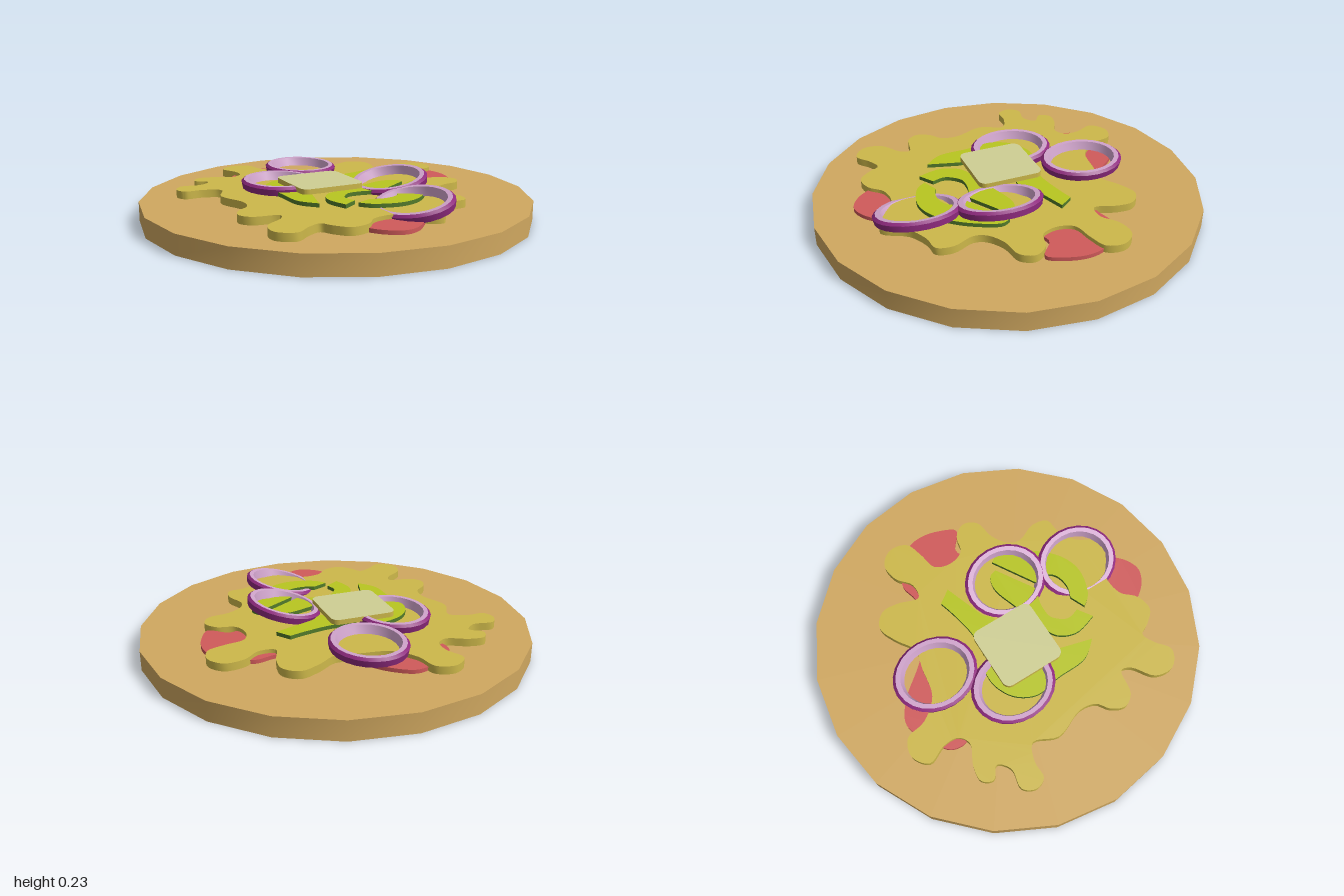
import * as THREE from 'three';
import { toCreasedNormals } from 'three/addons/utils/BufferGeometryUtils.js';

const mat = (name, color) => {
  const m = new THREE.MeshStandardMaterial({ color });
  m.name = name;
  return m;
};

export function createModel() {
  const model = new THREE.Group();
  const crust = mat('crust', 0xd0a860);
  const cheese = mat('cheese', 0xcdb84a);
  const sauce = mat('sauce', 0xd05a5a);
  const pepper = mat('pepperFlesh', 0xb8c620);
  const pepperSkin = mat('pepperSkin', 0x527a2a);
  const slab = mat('paleCheese', 0xcfcf94);
  const onionSkin = mat('onionSkin', 0x8e2a7e);
  const onionFlesh = mat('onionFlesh', 0xd0a4cc);

  const add = (name, geometry, material, parent = model) => {
    const mesh = new THREE.Mesh(geometry, material);
    mesh.name = name;
    parent.add(mesh);
    return mesh;
  };
  // Outlines are given as [x, z] and raised from y0 to y1
  const toVec = ([x, z]) => new THREE.Vector2(x, -z);
  const slice = (name, shape, y0, y1, material, curveSegments = 12) => {
    const g = new THREE.ExtrudeGeometry(shape, { depth: y1 - y0, bevelEnabled: false, curveSegments });
    g.rotateX(-Math.PI / 2).translate(0, y0, 0);
    return add(name, toCreasedNormals(g, 0.6), material);
  };
  const blob = (points) => {
    const curve = new THREE.CatmullRomCurve3(
      points.map(([x, z]) => new THREE.Vector3(x, -z, 0)), true, 'centripetal');
    return new THREE.Shape(curve.getPoints(points.length * 5).slice(0, -1)
      .map((p) => new THREE.Vector2(p.x, p.y)));
  };

  // Flat round base
  add('base', toCreasedNormals(new THREE.CylinderGeometry(1, 1, 0.1, 20).translate(0, 0.05, 0), 0.6), crust);

  // Sauce puddle under the cheese
  slice('sauce', blob([
    [-0.38, -0.5], [-0.365, -0.56], [-0.29, -0.62], [-0.2, -0.67], [-0.13, -0.68], [-0.03, -0.62],
    [0.1, -0.47], [0.28, -0.31], [0.42, -0.305], [0.52, -0.325], [0.62, -0.27], [0.7, -0.19],
    [0.72, -0.1], [0.7, 0], [0.65, 0.085], [0.55, 0.02], [0.46, 0.08], [0.37, 0.28], [0.2, 0.55],
    [0.06, 0.72], [0, 0.77], [-0.07, 0.79], [-0.15, 0.75], [-0.21, 0.67], [-0.33, 0.4],
    [-0.45, 0.1], [-0.45, -0.2], [-0.36, -0.42],
  ]), 0.1, 0.12, sauce);

  // Melted cheese with a wavy rim
  slice('meltedCheese', blob([
    [-0.3, -0.74], [-0.21, -0.71], [-0.18, -0.6], [-0.09, -0.5], [0.06, -0.47], [0.17, -0.45],
    [0.27, -0.51], [0.37, -0.545], [0.44, -0.49], [0.44, -0.4], [0.41, -0.29], [0.49, -0.28],
    [0.57, -0.34], [0.67, -0.35], [0.73, -0.28], [0.71, -0.19], [0.62, -0.155], [0.52, -0.13],
    [0.49, -0.05], [0.52, 0.035], [0.61, 0.064], [0.655, 0.13], [0.62, 0.2], [0.51, 0.225],
    [0.43, 0.28], [0.41, 0.34], [0.45, 0.45], [0.43, 0.53], [0.35, 0.545], [0.25, 0.6],
    [0.17, 0.72], [0.07, 0.67], [-0.02, 0.61], [-0.13, 0.62], [-0.2, 0.685], [-0.29, 0.7],
    [-0.35, 0.64], [-0.385, 0.585], [-0.45, 0.61], [-0.53, 0.665], [-0.61, 0.61], [-0.6, 0.51],
    [-0.5, 0.43], [-0.485, 0.38], [-0.61, 0.35], [-0.65, 0.29], [-0.62, 0.22], [-0.56, 0.17],
    [-0.545, 0.085], [-0.6, -0.075], [-0.555, -0.2], [-0.64, -0.245], [-0.73, -0.25],
    [-0.755, -0.31], [-0.715, -0.37], [-0.61, -0.36], [-0.555, -0.41], [-0.61, -0.46],
    [-0.58, -0.515], [-0.5, -0.51], [-0.395, -0.465], [-0.34, -0.5], [-0.337, -0.58], [-0.375, -0.68],
  ]), 0.1, 0.14, cheese);

  // Pepper strips: an outer and an inner curve joined by straight cuts
  const strips = [
    [[[-0.1, -0.21], [-0.21, -0.21], [-0.315, -0.155], [-0.37, -0.05], [-0.35, 0.085], [-0.34, 0.25], [-0.27, 0.345]],
      [[-0.225, 0.18], [-0.225, 0.06], [-0.2, -0.05], [-0.13, -0.11]]],
    [[[-0.05, -0.17], [0.08, -0.16], [0.22, -0.185], [0.31, -0.21]],
      [[0.36, -0.14], [0.22, -0.09], [0.14, -0.06], [0.09, -0.02], [0, -0.05]]],
    [[[-0.17, 0.42], [-0.2, 0.3], [-0.155, 0.2], [-0.05, 0.155], [0.09, 0.11], [0.22, 0.07], [0.3, 0.085], [0.32, 0.13]],
      [[0.11, 0.26], [0.06, 0.235], [0, 0.225], [-0.06, 0.235], [-0.11, 0.3], [-0.095, 0.37]]],
    [[[0.37, 0.14], [0.39, 0.2], [0.33, 0.33], [0.25, 0.43], [0.16, 0.49], [0.06, 0.505], [-0.05, 0.47], [-0.1, 0.415]],
      [[-0.02, 0.38], [0.04, 0.4], [0.11, 0.39], [0.15, 0.35], [0.11, 0.295]]],
  ];
  strips.forEach(([outer, inner]) => {
    const shape = new THREE.Shape();
    shape.moveTo(...toVec(outer[0]).toArray());
    shape.splineThru(outer.slice(1).map(toVec));
    shape.lineTo(...toVec(inner[0]).toArray());
    shape.splineThru(inner.slice(1).map(toVec));
    shape.closePath();
    slice('pepperStrip', shape, 0.14, 0.16, [pepper, pepperSkin], 4);
  });

  // Rounded square of pale cheese
  const square = new THREE.Shape();
  const h = 0.171, r = 0.04;
  [[1, 1, 0], [-1, 1, 1], [-1, -1, 2], [1, -1, 3]].forEach(([sx, sy, q]) =>
    square.absarc(sx * (h - r), sy * (h - r), r, q * Math.PI / 2, (q + 1) * Math.PI / 2));
  square.closePath();
  slice('cheeseSquare', square, 0.16, 0.186, [slab, cheese], 6).position.x = -0.097;

  // Onion rings: dark skin outside, pale flesh on top and inside
  const lathe = (pts) => toCreasedNormals(
    new THREE.LatheGeometry(pts.map(([x, y]) => new THREE.Vector2(x, y)), 24), 0.6);
  const skinGeo = lathe([[0.142, -0.022], [0.184, -0.022], [0.19, 0.01], [0.177, 0.022]]);
  const fleshGeo = lathe([[0.177, 0.022], [0.155, 0.022], [0.142, -0.022]]);
  [
    [-0.005, 0.162, -0.43, 0],
    [-0.265, 0.162, -0.13, 0],
    [0.235, 0.175, 0.138, 0.21],
    [0.135, 0.152, 0.523, 0.21],
  ].forEach(([x, y, z, tilt]) => {
    const ring = new THREE.Group();
    ring.name = 'onionRing';
    add('onionSkin', skinGeo, onionSkin, ring);
    add('onionFlesh', fleshGeo, onionFlesh, ring);
    ring.scale.z = 1.16;
    ring.rotation.z = tilt;
    ring.position.set(x, y, z);
    model.add(ring);
  });
  return model;
}
